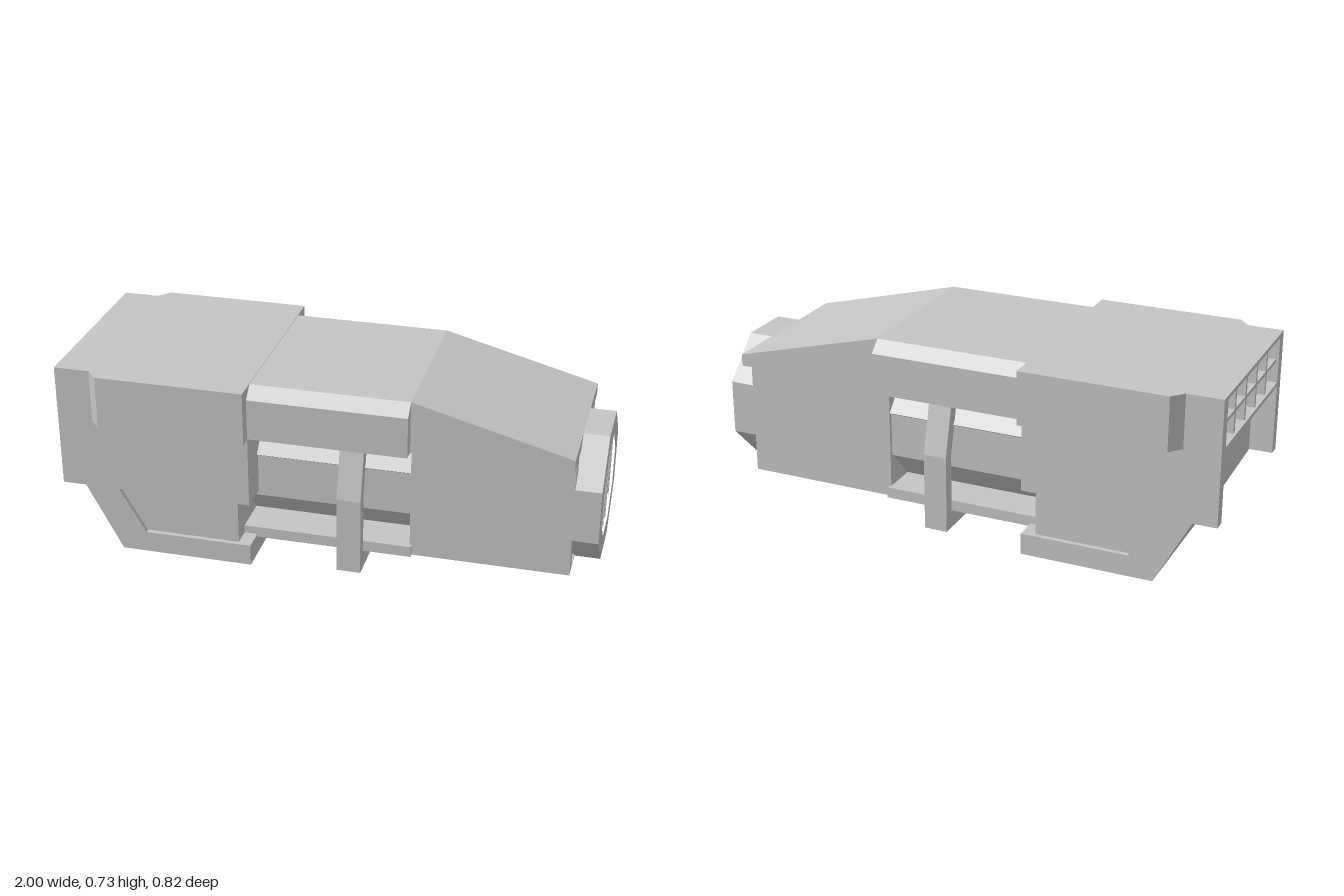
import * as THREE from 'three';

const grey = new THREE.MeshStandardMaterial({ color: 0xc4c4c4 });
grey.name = 'plain grey';

export function createModel() {
  const model = new THREE.Group();
  model.name = 'engineModule';

  const add = (name, geometry) => {
    const mesh = new THREE.Mesh(geometry, grey);
    mesh.name = name;
    model.add(mesh);
    return mesh;
  };
  const outline = (pts) => new THREE.Shape(pts.map(([a, b]) => new THREE.Vector2(a, b)));
  const extrude = (shape, depth) => new THREE.ExtrudeGeometry(shape, { depth, bevelEnabled: false });
  // Side profile in (x, y), spanning z0..z1
  const sidePart = (name, pts, z0, z1) => add(name, extrude(outline(pts), z1 - z0).translate(0, 0, z0));
  // Same, mirrored on both sides
  const sidePair = (name, pts, z0, z1) => {
    sidePart(name + 'Left', pts, z0, z1);
    sidePart(name + 'Right', pts, -z1, -z0);
  };
  // Cross-section in (z, y), spanning x0..x1
  const crossPart = (name, pts, x0, x1, hole) => {
    const shape = outline(pts);
    if (hole) shape.holes.push(outline(hole));
    return add(name, extrude(shape, x1 - x0).rotateY(Math.PI / 2).translate(x0, 0, 0));
  };
  const box = (name, x0, x1, y0, y1, z0, z1) =>
    add(name, new THREE.BoxGeometry(x1 - x0, y1 - y0, z1 - z0)
      .translate((x0 + x1) / 2, (y0 + y1) / 2, (z0 + z1) / 2));
  // Closes a half outline by mirroring it across z = 0
  const mirrored = (half) => [...half, ...half.map(([z, y]) => [-z, y]).reverse()];
  const octagon = (r, flat, cy) =>
    mirrored([[flat, cy + r], [r, cy + flat], [r, cy - flat], [flat, cy - r]]);
  const axisY = 0.319;

  // Rear housing: core with inset back, walls, and skins with a cut-out panel
  sidePart('rearCore', [[-0.91, 0.73], [-0.91, 0.255], [-0.775, 0], [-0.27, 0], [-0.27, 0.082],
    [-0.32, 0.082], [-0.32, 0.255], [-0.27, 0.255], [-0.27, 0.73]], -0.32, 0.32);
  sidePair('rearWall', [[-1, 0.73], [-1, 0.255], [-0.91, 0.255], [-0.775, 0], [-0.27, 0], [-0.27, 0.082],
    [-0.32, 0.082], [-0.32, 0.255], [-0.27, 0.255], [-0.27, 0.73]], 0.32, 0.347);
  sidePair('rearSkin', [[-1, 0.73], [-1, 0.255], [-0.91, 0.255], [-0.775, 0], [-0.27, 0], [-0.27, 0.082],
    [-0.68, 0.082], [-0.78, 0.255], [-0.27, 0.255], [-0.27, 0.73]], 0.347, 0.365);

  // Wider shoulder blocks with a chamfered rear end
  for (const s of [1, -1]) {
    const plan = outline([[-0.87, 0.36], [-0.825, 0.411], [-0.27, 0.411], [-0.27, 0.36]]
      .map(([x, z]) => [x, -z * s]));
    add(s > 0 ? 'shoulderLeft' : 'shoulderRight',
      extrude(plan, 0.203).rotateX(-Math.PI / 2).translate(0, 0.527, 0));
  }

  // Rear vent grid
  box('ventTop', -1, -0.91, 0.715, 0.73, -0.32, 0.32);
  box('ventMiddle', -0.99, -0.91, 0.617, 0.631, -0.32, 0.32);
  box('ventBottom', -1, -0.91, 0.525, 0.54, -0.32, 0.32);
  for (let i = 1; i < 5; i++) {
    const z = -0.32 + i * 0.128;
    box('ventDivider', -0.99, -0.91, 0.54, 0.715, z - 0.008, z + 0.008);
  }

  // Middle roof with chamfered edges
  crossPart('middleRoof', mirrored([[0.32, 0.728], [0.365, 0.685], [0.365, 0.529], [0, 0.529]]), -0.27, 0.32);

  // Faceted core in the open bay, with a lip above its side panels, and the bay floor
  crossPart('bayCore', mirrored([[0.104, 0.574], [0.255, 0.41], [0.243, 0.402], [0.243, 0.235], [0.104, 0.095]]),
    -0.33, 0.33);
  box('bayFloor', -0.33, 0.32, 0.07, 0.112, -0.275, 0.275);

  // Brace strap around the bay
  for (const s of [1, -1]) {
    crossPart(s > 0 ? 'braceLeft' : 'braceRight', [[0.32, 0], [0.32, 0.3], [0.258, 0.535],
      [0.213, 0.535], [0.275, 0.295], [0.275, 0]].map(([z, y]) => [-s * z, y]), 0.05, 0.14);
  }
  box('braceBase', 0.05, 0.14, 0, 0.07, -0.28, 0.28);

  // Front housing: narrow body, hollow at the end, under a wider sloped roof
  box('frontBody', 0.312, 0.8, 0.07, 0.54, -0.257, 0.257);
  for (const s of [1, -1]) {
    box(s > 0 ? 'frontWallLeft' : 'frontWallRight', 0.8, 0.905, 0.07, 0.54,
      Math.min(s * 0.205, s * 0.257), Math.max(s * 0.205, s * 0.257));
  }
  box('frontFloor', 0.8, 0.905, 0.07, 0.078, -0.205, 0.205);
  sidePart('frontRoof', [[0.312, 0.529], [0.905, 0.529], [0.905, 0.574], [0.32, 0.728], [0.312, 0.728]],
    -0.32, 0.32);

  // Intake ring and deep vertical guard slats
  crossPart('intakeRing', octagon(0.255, 0.104, axisY), 0.8, 1, octagon(0.174, 0.073, axisY));
  for (const z of [-0.138, -0.069, 0, 0.069, 0.138]) {
    const h = Math.min(0.174, 0.247 - Math.abs(z));
    box('guardSlat', 0.9, 0.992, axisY - h, axisY + h, z - 0.006, z + 0.006);
  }

  // Fan: hub and pitched blades that widen outwards
  add('fanHub', new THREE.CylinderGeometry(0.047, 0.047, 0.06, 12).toNonIndexed()
    .rotateZ(-Math.PI / 2).translate(0.86, axisY, 0)).geometry.computeVertexNormals();
  const blades = 28;
  for (let i = 0; i < blades; i++) {
    const blade = extrude(outline([[-0.004, 0.04], [0.004, 0.04], [0.0155, 0.158], [-0.0155, 0.158]]), 0.006)
      .rotateY(Math.PI / 2 + 0.35)
      .rotateX((i / blades) * Math.PI * 2)
      .translate(0.86, axisY, 0);
    add('fanBlade', blade);
  }

  return model;
}
